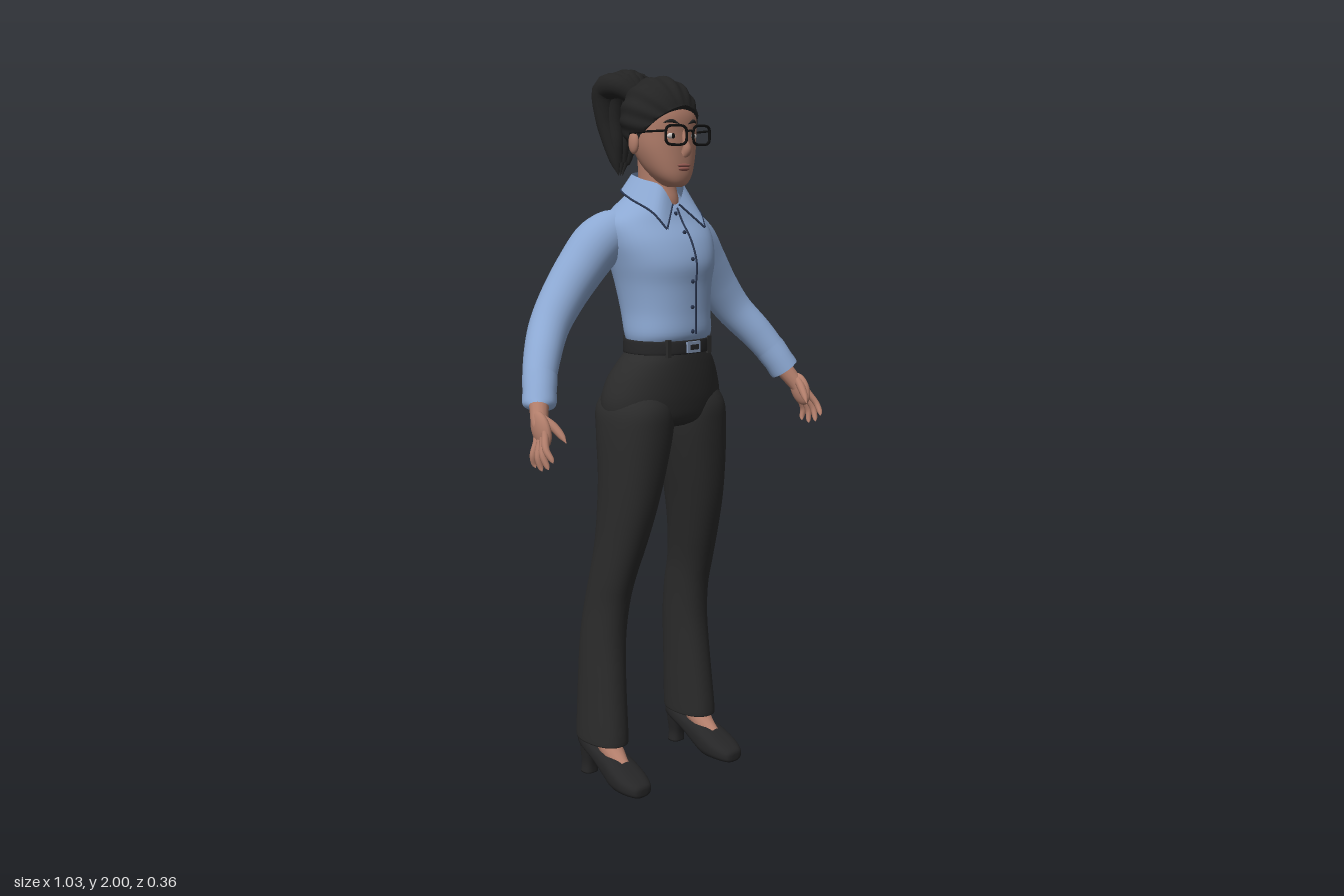
import * as THREE from 'three';

const mat = (name, color, side = THREE.FrontSide) => {
  const m = new THREE.MeshStandardMaterial({ color, side });
  m.name = name;
  return m;
};

// Catmull-Rom blend of one column of a table of rows
function blend(rows, t, k) {
  const n = rows.length - 1, i = Math.min(Math.floor(t), n - 1), f = t - i;
  const p = (j) => rows[Math.max(0, Math.min(n, j))][k];
  const a = p(i - 1), b = p(i), c = p(i + 1), d = p(i + 2);
  return b + 0.5 * f * (c - a + f * (2 * a - 5 * b + 4 * c - d + f * (3 * (b - c) + d - a)));
}

// Loft of rounded rings [t, centreX, halfWidth, high, low].
// Axis y: list bottom to top, high/low are z. Axis z: list front to back, high/low are y.
function loft(rows, axis = 'y', e = 2.2, seg = 40, steps = 5) {
  const pos = [], idx = [], n = (rows.length - 1) * steps;
  const bend = (v) => Math.sign(v) * Math.abs(v) ** (2 / e);
  const put = (x, t, h) => (axis === 'y' ? pos.push(x, t, h) : pos.push(x, h, t));
  for (let i = 0; i <= n; i++) {
    const [t, cx, hw, hi, lo] = [0, 1, 2, 3, 4].map((k) => blend(rows, i / steps, k));
    for (let j = 0; j < seg; j++) {
      const a = (j / seg) * Math.PI * 2;
      put(cx + hw * bend(Math.cos(a)), t, (hi + lo) / 2 + ((hi - lo) / 2) * bend(Math.sin(a)));
    }
  }
  for (const r of [rows[0], rows[rows.length - 1]]) put(r[1], r[0], (r[3] + r[4]) / 2);
  const end = (n + 1) * seg;
  for (let j = 0; j < seg; j++) {
    const k = (j + 1) % seg;
    for (let i = 0; i < n; i++) {
      const a = i * seg + j, b = a + seg, c = i * seg + k, d = c + seg;
      idx.push(a, b, c, c, b, d);
    }
    idx.push(end, j, k, end + 1, n * seg + k, n * seg + j);
  }
  const g = new THREE.BufferGeometry();
  g.setAttribute('position', new THREE.Float32BufferAttribute(pos, 3));
  g.setIndex(idx);
  g.computeVertexNormals();
  return g;
}

// Tube of changing radius through [x, y, z, r]
function limb(rows, seg = 24, radial = 14) {
  const path = new THREE.CatmullRomCurve3(rows.map((r) => new THREE.Vector3(r[0], r[1], r[2])));
  const g = new THREE.TubeGeometry(path, seg, 1, radial), p = g.attributes.position, v = new THREE.Vector3();
  for (let i = 0; i <= seg; i++) {
    const c = path.getPointAt(i / seg);
    const r = Math.max(0.0005, blend(rows, path.getUtoTmapping(i / seg) * (rows.length - 1), 3));
    for (let j = 0; j <= radial; j++) {
      const k = i * (radial + 1) + j;
      v.fromBufferAttribute(p, k).sub(c).multiplyScalar(r).add(c);
      p.setXYZ(k, v.x, v.y, v.z);
    }
  }
  return g;
}

const line = (pts, r, closed = false, seg = 40) =>
  new THREE.TubeGeometry(new THREE.CatmullRomCurve3(pts.map((p) => new THREE.Vector3(...p)), closed), seg, r, 6, closed);
const blob = (x, y, z, rx, ry, rz) => new THREE.SphereGeometry(1, 20, 14).scale(rx, ry, rz).translate(x, y, z);

export function createModel() {
  const model = new THREE.Group();
  const shirt = mat('shirt blue', 0x8ca8d2, THREE.DoubleSide), trim = mat('seam navy', 0x2a3650);
  const pants = mat('trouser charcoal', 0x2b2b2b), hair = mat('hair black', 0x232323);
  const skin = mat('skin', 0xb27e6b), lip = mat('lips', 0x91574f);
  const leather = mat('leather black', 0x262627), metal = mat('buckle', 0x8496b4);
  const white = mat('eye white', 0xd8d0cc), black = mat('frame black', 0x111111);
  const add = (name, g, m) => {
    const mesh = new THREE.Mesh(g, m);
    mesh.name = name;
    model.add(mesh);
    return mesh;
  };

  // Shirt body
  const body = [
    [1.26, 0, 0.118, 0.14, -0.04], [1.29, 0, 0.127, 0.156, -0.05], [1.35, 0, 0.127, 0.155, -0.068],
    [1.42, 0, 0.136, 0.155, -0.086], [1.48, 0, 0.15, 0.158, -0.1], [1.54, 0, 0.163, 0.136, -0.107],
    [1.59, 0, 0.16, 0.1, -0.105], [1.625, 0, 0.12, 0.08, -0.097], [1.65, 0, 0.085, 0.06, -0.083],
    [1.68, 0, 0.055, 0.05, -0.06]];
  add('shirtBody', loft(body), shirt);
  const front = body.slice(1, 8).map((r) => [0.008, r[0], r[3] + 0.0005]);
  add('placketSeam', line(front, 0.003), trim);
  for (const k of [0.2, 1.2, 2.2, 3.2, 4.4, 5.5])
    add('button', blob(-0.004, blend(front, k, 1), blend(front, k, 2), 0.006, 0.006, 0.004), trim);

  // Trousers, belt and buckle
  add('hips', loft([
    [1.03, 0, 0.12, 0.1, -0.045], [1.05, 0, 0.18, 0.13, -0.08], [1.1, 0, 0.192, 0.142, -0.092],
    [1.16, 0, 0.174, 0.147, -0.085], [1.21, 0, 0.146, 0.148, -0.06], [1.24, 0, 0.122, 0.147, -0.048],
    [1.265, 0, 0.117, 0.145, -0.044]]), pants);
  add('belt', loft([[1.236, 0, 0.124, 0.148, -0.052], [1.24, 0, 0.128, 0.153, -0.055],
    [1.27, 0, 0.126, 0.152, -0.053], [1.274, 0, 0.121, 0.147, -0.05]]), leather);
  add('buckle', new THREE.BoxGeometry(0.046, 0.03, 0.008).translate(0, 1.255, 0.155), metal);
  add('bucklePlate', new THREE.BoxGeometry(0.03, 0.014, 0.004).translate(0, 1.255, 0.159), leather);
  for (const [x, z] of [[0.075, 0.136], [-0.075, 0.136], [0.075, -0.036], [-0.075, -0.036], [0, -0.056]])
    add('beltLoop', new THREE.BoxGeometry(0.012, 0.048, 0.012).translate(x, 1.254, z), pants);

  // Neck and head
  add('neck', loft([[1.58, 0, 0.05, 0.07, -0.04], [1.64, 0, 0.05, 0.073, -0.045],
    [1.69, 0, 0.046, 0.062, -0.045], [1.76, 0, 0.05, 0.06, -0.045]]), skin);
  add('head', loft([
    [1.681, 0, 0.018, 0.098, 0.06], [1.69, 0, 0.036, 0.11, 0.04], [1.71, 0, 0.055, 0.116, 0.015],
    [1.74, 0, 0.072, 0.117, -0.015], [1.78, 0, 0.086, 0.116, -0.04], [1.82, 0, 0.092, 0.115, -0.055],
    [1.87, 0, 0.092, 0.114, -0.06], [1.91, 0, 0.08, 0.095, -0.055], [1.945, 0, 0.04, 0.05, -0.02]]), skin);
  add('nose', limb([[0, 1.83, 0.11, 0.005], [0, 1.805, 0.119, 0.008], [0, 1.78, 0.126, 0.013],
    [0, 1.768, 0.121, 0.011], [0, 1.76, 0.112, 0.001]]), skin);
  add('upperLip', blob(0, 1.738, 0.115, 0.024, 0.005, 0.007), lip);
  add('lowerLip', blob(0, 1.729, 0.114, 0.02, 0.006, 0.008), lip);

  // Swept hair cap, cut along a slope from brow to nape
  const cap = new THREE.SphereGeometry(1, 72, 48), cp = cap.attributes.position;
  for (let i = 0; i < cp.count; i++) {
    const x = cp.getX(i), y = cp.getY(i), z = cp.getZ(i);
    const wave = 1 + 0.022 * Math.sin(16 * Math.atan2(x, y + 0.25) + 3 * z) * Math.min(1, Math.hypot(x, y + 0.25));
    const hx = x * 0.106 * wave, hz = 0.016 + z * 0.104 * wave;
    const cut = 1.885 + 0.95 * (hz - 0.11) - 0.1 * Math.abs(hx);
    cp.setXYZ(i, hx, Math.max(1.862 + y * 0.111 * wave, cut), hz);
  }
  cap.computeVertexNormals();
  add('hairCap', cap, hair);

  // Ponytail made of overlapping locks
  for (let k = 0; k < 6; k++) {
    const x = (k - 2.5) * 0.018, o = -0.01, d = (k % 2) * 0.012;
    add('ponytailLock', limb([
      [o + x * 0.3, 1.915, -0.05, 0.022], [o + x, 1.966 - Math.abs(x) * 0.4, -0.085, 0.032],
      [o + x * 1.1, 1.942, -0.136 + d * 0.5, 0.036], [o + x * 0.9, 1.87, -0.15 + d, 0.028],
      [o + x * 0.65, 1.8, -0.142 + d, 0.021], [o + x * 0.4, 1.745, -0.132, 0.014],
      [o + x * 0.2, 1.71 + d * 2, -0.13, 0.001]]), hair);
  }
  add('hairTie', new THREE.TorusGeometry(0.03, 0.012, 10, 24).rotateX(0.9).translate(-0.005, 1.925, -0.068), hair);
  add('glassesBridge', line([[-0.013, 1.825, 0.137], [0, 1.829, 0.139], [0.013, 1.825, 0.137]], 0.003), black);

  for (const s of [-1, 1]) {
    const flip = (rows) => rows.map(([x, ...r]) => [s * x, ...r]);
    const side = (rows) => rows.map(([t, x, ...r]) => [t, s * x, ...r]);

    // Face details and glasses
    add('ear', blob(s * 0.094, 1.798, 0.02, 0.011, 0.03, 0.018), skin);
    add('eyeWhite', blob(s * 0.037, 1.815, 0.107, 0.016, 0.008, 0.006), white);
    add('iris', blob(s * 0.036, 1.815, 0.112, 0.006, 0.007, 0.003), black);
    add('eyebrow', limb(flip([[0.015, 1.846, 0.113, 0.002], [0.04, 1.854, 0.108, 0.005], [0.066, 1.846, 0.092, 0.001]])), hair);
    const rim = [];
    for (let i = 0; i < 20; i++) {
      const a = (i / 20) * Math.PI * 2, q = (v) => Math.sign(v) * Math.abs(v) ** 0.55;
      const x = 0.046 + 0.034 * q(Math.cos(a));
      rim.push([s * x, 1.817 + 0.025 * q(Math.sin(a)), 0.14 - x * 0.12]);
    }
    add('glassesRim', line(rim, 0.0038, true, 60), black);
    add('glassesTemple', line(flip([[0.08, 1.828, 0.13], [0.095, 1.826, 0.07], [0.099, 1.822, 0.01]]), 0.003), black);

    // Collar flap with a seam on its edge
    const top = flip([[0.012, 1.635, 0.084], [0.042, 1.685, 0.07], [0.06, 1.702, 0.015], [0.045, 1.715, -0.045], [0, 1.72, -0.062]]);
    const low = flip([[0.07, 1.572, 0.126], [0.086, 1.615, 0.086], [0.094, 1.65, 0.005], [0.066, 1.672, -0.066], [0, 1.678, -0.088]]);
    const N = 20, flap = new THREE.PlaneGeometry(1, 1, N, 1), fp = flap.attributes.position;
    for (let i = 0; i <= N; i++)
      [top, low].forEach((row, j) => fp.setXYZ(j * (N + 1) + i, ...[0, 1, 2].map((k) => blend(row, (i / N) * 4, k))));
    if (s < 0) flap.index.array.reverse();
    flap.computeVertexNormals();
    add('collarFlap', flap, shirt);
    add('collarSeam', line(low, 0.0028), trim);
    add('collarFrontSeam', line([top[0], low[0]], 0.0028), trim);

    // Sleeve and cuff
    add('sleeve', limb(flip([
      [0.07, 1.57, -0.03, 0.045], [0.12, 1.56, -0.033, 0.063], [0.172, 1.53, -0.038, 0.07], [0.23, 1.465, -0.046, 0.066],
      [0.29, 1.39, -0.048, 0.06], [0.345, 1.32, -0.035, 0.054], [0.4, 1.25, 0.005, 0.049],
      [0.44, 1.185, 0.042, 0.043], [0.455, 1.15, 0.06, 0.036]]), 48, 28), shirt);
    add('cuff', limb(flip([[0.427, 1.208, 0.03, 0.04], [0.43, 1.203, 0.033, 0.046], [0.446, 1.17, 0.052, 0.044],
      [0.461, 1.137, 0.069, 0.041], [0.463, 1.133, 0.071, 0.001]]), 30, 24), shirt);

    // Hand with fanned fingers
    const palm = new THREE.SphereGeometry(1, 20, 16).scale(0.017, 0.05, 0.034).rotateX(-0.5);
    add('palm', palm.translate(s * 0.486, 1.082, 0.108), skin);
    add('wrist', limb(flip([[0.455, 1.15, 0.06, 0.026], [0.47, 1.12, 0.08, 0.024], [0.484, 1.09, 0.1, 0.02], [0.487, 1.07, 0.11, 0.002]])), skin);
    for (const [bz, by, tz, ty] of [[0.136, 1.07, 0.176, 1.008], [0.127, 1.058, 0.157, 0.988], [0.114, 1.05, 0.131, 0.98], [0.1, 1.05, 0.104, 0.985]])
      add('finger', limb(flip([[0.487, by + 0.02, bz - 0.01, 0.008], [0.495, by, bz, 0.0095],
        [0.508, (by + ty) / 2, (bz + tz) / 2, 0.009], [0.504, ty + 0.008, tz - 0.003, 0.007], [0.502, ty, tz, 0.001]]), 16, 10), skin);
    add('thumb', limb(flip([[0.478, 1.11, 0.105, 0.011], [0.465, 1.09, 0.132, 0.012], [0.456, 1.067, 0.154, 0.009],
      [0.451, 1.05, 0.166, 0.001]]), 16, 10), skin);

    // Trouser leg
    add('trouserLeg', loft(side([
      [0.125, 0.172, 0.055, 0.05, -0.12], [0.135, 0.172, 0.058, 0.054, -0.125], [0.3, 0.166, 0.056, 0.038, -0.122],
      [0.42, 0.16, 0.055, 0.031, -0.118], [0.52, 0.154, 0.054, 0.04, -0.105], [0.6, 0.15, 0.056, 0.06, -0.086],
      [0.7, 0.139, 0.063, 0.09, -0.07], [0.8, 0.128, 0.073, 0.115, -0.065], [0.9, 0.116, 0.085, 0.13, -0.066],
      [1.02, 0.102, 0.098, 0.14, -0.082], [1.09, 0.096, 0.094, 0.138, -0.09], [1.15, 0.08, 0.07, 0.11, -0.06]])), pants);

    // Foot and heeled shoe
    add('foot', limb(flip([[0.172, 0.2, -0.045, 0.034], [0.173, 0.13, -0.02, 0.034], [0.176, 0.088, 0.025, 0.03],
      [0.178, 0.065, 0.065, 0.02]])), skin);
    add('shoe', loft(side([
      [0.156, 0.18, 0.012, 0.028, 0.01], [0.148, 0.18, 0.032, 0.04, 0.002], [0.11, 0.18, 0.048, 0.06, 0],
      [0.06, 0.178, 0.05, 0.085, 0], [0.02, 0.176, 0.044, 0.098, 0.016], [-0.03, 0.174, 0.04, 0.11, 0.048],
      [-0.08, 0.172, 0.041, 0.135, 0.072], [-0.112, 0.172, 0.028, 0.13, 0.08]]), 'z', 2.6), leather);
    add('heel', loft(side([[0, 0.173, 0.024, -0.072, -0.116], [0.03, 0.173, 0.022, -0.07, -0.114],
      [0.07, 0.172, 0.029, -0.058, -0.115], [0.1, 0.172, 0.035, -0.04, -0.115]]), 'y', 2.6), leather);
  }
  return model;
}
